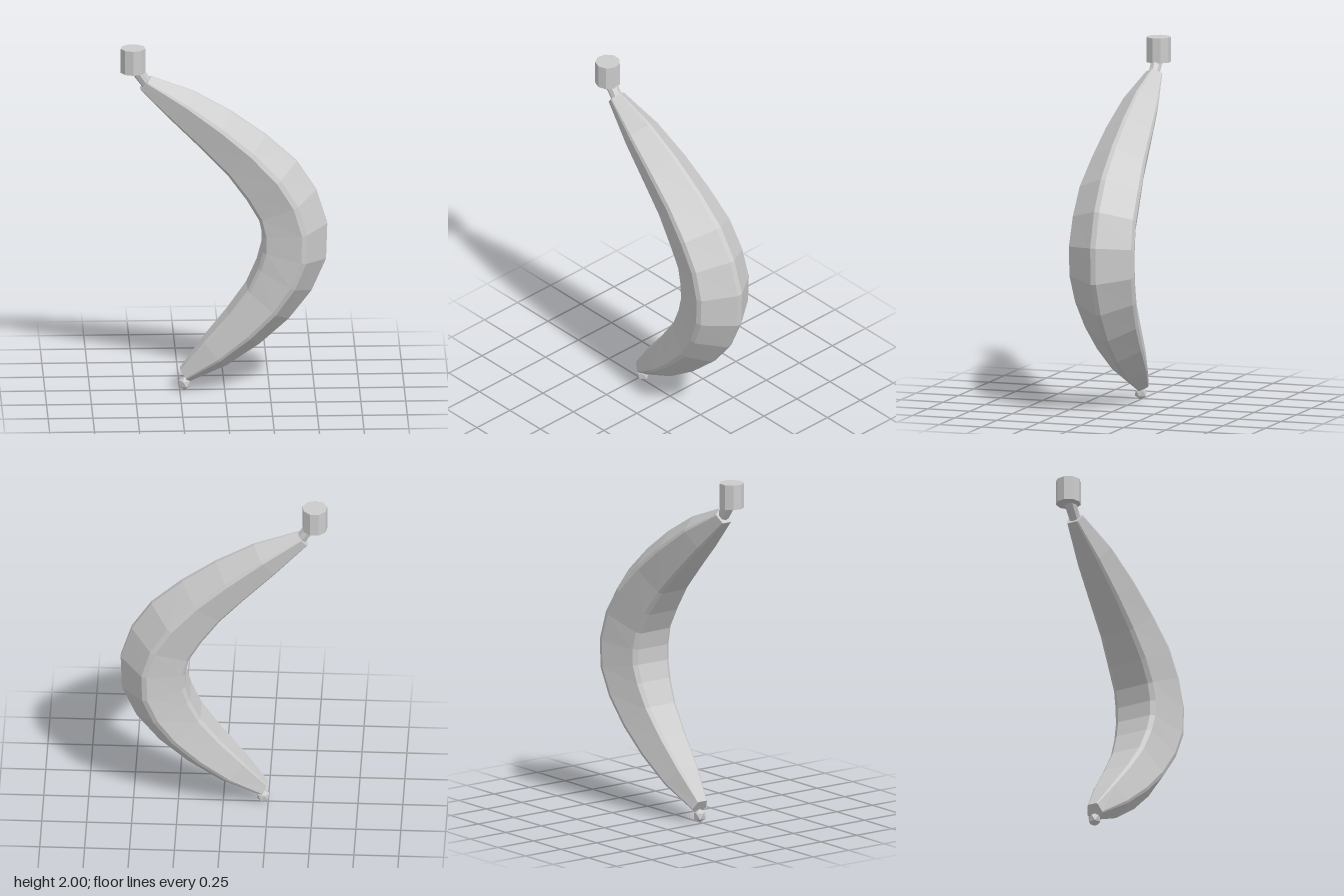
import * as THREE from 'three';

const material = new THREE.MeshStandardMaterial({ color: 0xcccccc, flatShading: true });

// Each station along the fruit: outer ridge x, y and inner face x, y
const STATIONS = [
  [-0.41, 1.836, -0.468, 1.765],
  [-0.172, 1.746, -0.29, 1.59],
  [0.04, 1.624, -0.12, 1.425],
  [0.23, 1.487, 0.02, 1.28],
  [0.4, 1.333, 0.125, 1.14],
  [0.51, 1.164, 0.195, 1.02],
  [0.572, 0.968, 0.218, 0.92],
  [0.565, 0.762, 0.218, 0.83],
  [0.484, 0.577, 0.19, 0.73],
  [0.357, 0.413, 0.13, 0.6],
  [0.198, 0.27, 0.02, 0.45],
  [0.013, 0.143, -0.115, 0.29],
  [-0.198, 0.048, -0.246, 0.122],
];

// Five-sided section with each corner cut by a narrow bevel
const ANGLES = [];
for (let k = 0; k < 5; k++) {
  for (const bevel of [-5.3, 3.7]) ANGLES.push(THREE.MathUtils.degToRad(k * 72 + bevel));
}

function fruitGeometry() {
  const pos = [], index = [], n = ANGLES.length, last = STATIONS.length - 1;
  const centres = [];
  for (const [ox, oy, ix, iy] of STATIONS) {
    // The inner flat lies 0.81 radii behind the centre
    const ux = (ox - ix) / 1.81, uy = (oy - iy) / 1.81;
    const r = Math.hypot(ux, uy), cx = ox - ux, cy = oy - uy;
    centres.push([cx, cy, 0]);
    for (const a of ANGLES) {
      pos.push(cx + ux * Math.cos(a), cy + uy * Math.cos(a), r * Math.sin(a));
    }
  }
  const top = pos.length / 3, bottom = top + 1;
  pos.push(...centres[0], ...centres[last]);
  for (let j = 0; j < n; j++) {
    const k = (j + 1) % n;
    for (let i = 0; i < last; i++) {
      const a = i * n + j, b = i * n + k;
      index.push(a, b, a + n, b, b + n, a + n);
    }
    index.push(top, k, j, bottom, last * n + j, last * n + k);
  }
  const geometry = new THREE.BufferGeometry();
  geometry.setAttribute('position', new THREE.Float32BufferAttribute(pos, 3));
  geometry.setIndex(index);
  const flat = geometry.toNonIndexed();
  flat.computeVertexNormals();
  return flat;
}

export function createModel() {
  const group = new THREE.Group();
  group.name = 'banana';
  const add = (name, geometry, x = 0, y = 0) => {
    const mesh = new THREE.Mesh(geometry, material);
    mesh.name = name;
    mesh.position.set(x, y, 0);
    group.add(mesh);
    return mesh;
  };

  add('fruit', fruitGeometry());

  // Slanted neck joining the fruit to the stem end
  const from = new THREE.Vector3(-0.43, 1.79, 0), to = new THREE.Vector3(-0.5, 1.89, 0);
  const dir = to.clone().sub(from);
  const neck = add('neck', new THREE.CylinderGeometry(0.036, 0.032, dir.length(), 8),
    (from.x + to.x) / 2, (from.y + to.y) / 2);
  neck.quaternion.setFromUnitVectors(new THREE.Vector3(0, 1, 0), dir.normalize());

  add('stemEnd', new THREE.CylinderGeometry(0.07, 0.07, 0.14, 9), -0.51, 1.93);

  // Small faceted tip, turned to stand on a corner
  const tip = add('tip', new THREE.IcosahedronGeometry(0.038, 0), -0.222, 0.038);
  tip.rotation.z = Math.atan(2 / (1 + Math.sqrt(5)));

  return group;
}
